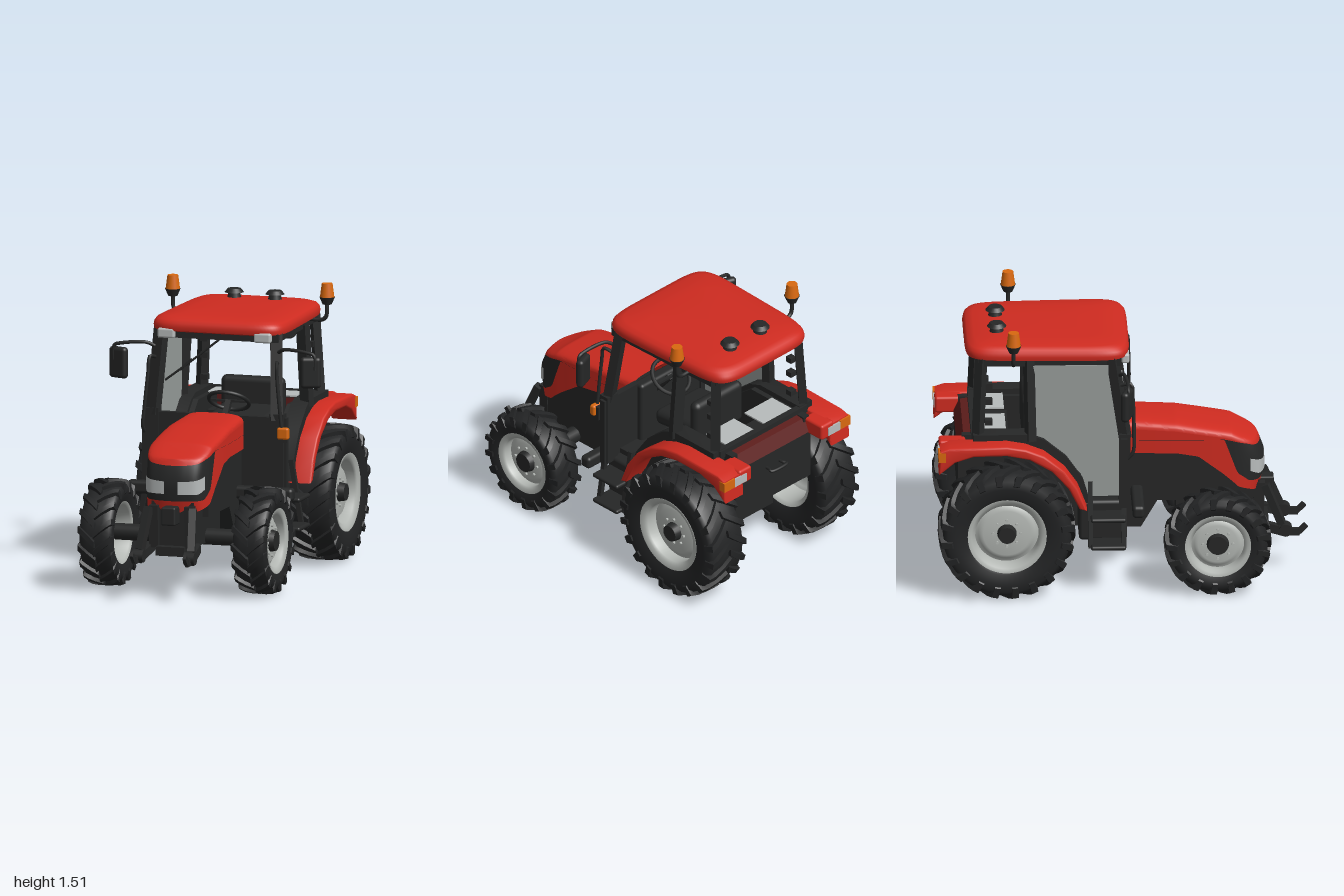
import * as THREE from 'three';
import { mergeGeometries, toCreasedNormals } from 'three/addons/utils/BufferGeometryUtils.js';
import { RoundedBoxGeometry } from 'three/addons/geometries/RoundedBoxGeometry.js';

const material = (name, color) => new THREE.MeshStandardMaterial({ name, color, side: THREE.DoubleSide });
const red = material('red paint', 0xcf2b20);
const darkRed = material('dark red panel', 0x5c1d1b);
const black = material('black trim', 0x262727);
const rubber = material('tyre rubber', 0x232425);
const silver = material('rim grey', 0xb4b8b4);
const glass = material('glass grey', 0x979c9a);
const lens = material('lamp lens', 0xb8bcbc);
const amber = material('amber lamp', 0xd9690f);

const V = (x, y, z) => new THREE.Vector3(x, y, z);

function add(parent, name, geo, mat, x = 0, y = 0, z = 0) {
  const m = new THREE.Mesh(geo, mat);
  m.name = name;
  m.position.set(x, y, z);
  parent.add(m);
  return m;
}
// Box given by its ranges on each axis
function box(parent, name, mat, [x0, x1], [y0, y1], [z0, z1], r = 0) {
  const s = [x1 - x0, y1 - y0, z1 - z0];
  const geo = r ? new RoundedBoxGeometry(...s, 3, r) : new THREE.BoxGeometry(...s);
  return add(parent, name, geo, mat, (x0 + x1) / 2, (y0 + y1) / 2, (z0 + z1) / 2);
}
function beam(parent, name, mat, a, b, w, d = w) {
  const m = add(parent, name, new THREE.BoxGeometry(w, d, a.distanceTo(b)), mat);
  m.position.copy(a).lerp(b, 0.5);
  m.lookAt(b);
  return m;
}
function pipe(parent, name, mat, pts, r) {
  const curve = new THREE.CatmullRomCurve3(pts.map(p => V(...p)), false, 'centripetal');
  return add(parent, name, new THREE.TubeGeometry(curve, 24, r, 8), mat);
}
// Side outline of (z, y) points, thickened from x0 to x1
function sidePlate(parent, name, mat, pts, x0, x1, bevel = 0) {
  const shape = new THREE.Shape(pts.map(p => new THREE.Vector2(...p)));
  const geo = new THREE.ExtrudeGeometry(shape, {
    depth: x1 - x0 - 2 * bevel, bevelEnabled: bevel > 0, bevelSize: bevel, bevelThickness: bevel, bevelOffset: -bevel, bevelSegments: 3,
  });
  geo.rotateY(-Math.PI / 2).translate(x1 - bevel, 0, 0);
  return add(parent, name, toCreasedNormals(geo, 0.6), mat);
}
// Skin over rows of points; closed rows get end caps
function loft(rows, closed = false) {
  const n = rows[0].length, index = [];
  for (let i = 0; i < rows.length - 1; i++)
    for (let j = 0; j < (closed ? n : n - 1); j++) {
      const a = i * n + j, b = i * n + (j + 1) % n;
      index.push(a, b, b + n, a, b + n, a + n);
    }
  if (closed) for (let j = 1; j < n - 1; j++) {
    const e = (rows.length - 1) * n;
    index.push(0, j + 1, j, e, e + j, e + j + 1);
  }
  const geo = new THREE.BufferGeometry();
  geo.setAttribute('position', new THREE.Float32BufferAttribute(rows.flat(2), 3));
  geo.setIndex(index);
  return toCreasedNormals(geo, 0.6);
}
// Piecewise linear curve through [input, output] pairs
const ramp = pairs => t => {
  let i = 1;
  while (i < pairs.length - 1 && t > pairs[i][0]) i++;
  const [a, p] = pairs[i - 1], [b, q] = pairs[i];
  return p + (q - p) * THREE.MathUtils.clamp((t - a) / (b - a), 0, 1);
};

// Wheel on the x axis, outer face towards +x
function makeWheel(name, R, width, rimR, hubR, lugs) {
  const g = new THREE.Group(), h = width / 2;
  g.name = name;
  const turn = pts => new THREE.LatheGeometry(pts.map(p => new THREE.Vector2(...p)), 56).rotateZ(-Math.PI / 2);
  const base = R - 0.02, mid = (rimR + base) / 2;
  const half = [[rimR, 0.8 * h], [rimR + 0.02, 0.88 * h], [mid, 0.96 * h], [base - 0.03, 0.94 * h], [base - 0.008, 0.82 * h], [base, 0.4 * h]];
  add(g, 'tyre', turn([...half.map(([r, y]) => [r, -y]), ...half.reverse()]), rubber);
  // Angled tread bars, alternating left and right
  const bars = [];
  for (let i = 0; i < lugs * 2; i++) {
    const s = i % 2 ? 1 : -1, a0 = i * Math.PI / lugs, d = 0.32 * Math.PI / lugs;
    const steps = [[-0.04, R, 0], [0.35, R, 0.12], [0.7, R - 0.003, 0.22], [0.95, R - 0.012, 0.28], [1, R - 0.07, 0.3]];
    bars.push(loft(steps.map(([u, r, lag]) => {
      const rin = Math.min(base, r) - 0.02;
      const x = s * u * h, xin = s * Math.min(u, 0.85) * h;
      return [[rin, -1.5, xin], [r, -1, x], [r, 1, x], [rin, 1.5, xin]].map(([q, k, px]) => {
        const a = a0 - lag + k * d;
        return [px, q * Math.cos(a), q * Math.sin(a)];
      });
    }), true));
  }
  add(g, 'tread', mergeGeometries(bars), rubber);
  add(g, 'rim', turn([[rimR + 0.004, -0.8 * h], [rimR * 0.88, -0.7 * h], [rimR * 0.84, 0.2 * h], [rimR * 0.84, 0.72 * h], [rimR * 0.94, 0.78 * h],
    [rimR + 0.008, 0.88 * h], [rimR + 0.004, 0.8 * h]]), silver);
  add(g, 'rimDisc', turn([[rimR * 0.86, 0.25 * h], [rimR * 0.74, 0.32 * h], [rimR * 0.62, 0.5 * h], [0, 0.5 * h]]), silver);
  add(g, 'hub', new THREE.CylinderGeometry(hubR * 0.85, hubR, 0.35 * h, 20).rotateZ(-Math.PI / 2), black, 0.62 * h);
  for (let i = 0; i < 8; i++) {
    const a = i * Math.PI / 4, r = hubR + 0.02;
    add(g, 'wheelBolt', new THREE.CylinderGeometry(0.008, 0.008, 0.02, 6).rotateZ(Math.PI / 2), silver, 0.51 * h, Math.cos(a) * r, Math.sin(a) * r);
  }
  return g;
}

function makeHood() {
  const g = new THREE.Group();
  g.name = 'hood';
  const side = [[0.165, 0.03], [0.178, 0.3], [0.18, 0.52], [0.168, 0.68], [0.135, 0.745], [0.07, 0.77], [0, 0.776]];
  const curve = new THREE.CatmullRomCurve3([...side, ...side.slice(0, -1).reverse().map(([x, z]) => [-x, z])].map(([x, z]) => V(x, 0, z)), false, 'centripetal');
  const plan = curve.getSpacedPoints(140);
  const bottom = ramp([[0.03, 0.70], [0.3, 0.7], [0.42, 0.68], [0.55, 0.58], [0.64, 0.5], [0.78, 0.46]]);
  const low = ramp([[0.56, 0.775], [0.63, 0.58], [0.7, 0.53], [0.78, 0.525]]);
  const high = ramp([[0.56, 0.776], [0.7, 0.745], [0.78, 0.715]]);
  const shoulder = ramp([[0.03, 0.84], [0.3, 0.825], [0.56, 0.785], [0.78, 0.725]]);
  const top = ramp([[0.03, 0.89], [0.3, 0.872], [0.6, 0.82], [0.72, 0.775], [0.78, 0.75]]);
  // The nose leans back above and below the lamps
  const lean = (z, y) => z - THREE.MathUtils.clamp((z - 0.6) / 0.15, 0, 1) * (0.4 * Math.max(0, y - 0.66) + 0.25 * Math.max(0, 0.56 - y));
  const band = (name, a, b, mat, pts = plan, out = 0) => add(g, name, loft([0, 0.33, 0.67, 1].map(t => pts.map(p => {
    const y = THREE.MathUtils.lerp(a(p.z), b(p.z), t);
    return [p.x * (1 + out * 5), y, lean(p.z, y) + out];
  }))), mat);
  band('hoodSide', bottom, low, red);
  band('grille', low, high, black);
  band('hoodShoulder', high, shoulder, red);
  const rows = [];
  for (let i = 0; i <= 10; i++) {
    const t = i / 10 * Math.PI / 2, c = Math.max(0, Math.cos(t)) ** 0.6, s = Math.sin(t) ** 0.7;
    rows.push(plan.map(p => {
      const y = THREE.MathUtils.lerp(shoulder(p.z), top(p.z), s);
      return [p.x * c, y, lean(p.z, y)];
    }));
  }
  add(g, 'hoodTop', loft(rows), red);
  for (const s of [1, -1])
    band('headlight', ramp([[0.69, 0.59], [0.74, 0.565], [0.78, 0.565]]), ramp([[0.69, 0.66], [0.78, 0.632]]), lens, plan.filter(p => p.x * s > 0.035 && p.z > 0.69), 0.005);
  return g;
}

// Everything that repeats on both sides, built for +x
function makeSide() {
  const g = new THREE.Group();
  const rear = makeWheel('rearWheel', 0.37, 0.265, 0.205, 0.054, 20);
  rear.position.set(0.428, 0.378, -0.623);
  const front = makeWheel('frontWheel', 0.29, 0.195, 0.17, 0.062, 17);
  front.position.set(0.434, 0.295, 0.513);
  g.add(rear, front);
  // Rear fender with tail lamps
  sidePlate(g, 'fender', red, [[-0.19, 0.49], [-0.24, 0.62], [-0.31, 0.72], [-0.42, 0.81], [-0.52, 0.85], [-0.62, 0.868], [-0.93, 0.862], [-0.98, 0.845],
    [-0.988, 0.71], [-0.96, 0.73], [-0.9, 0.78], [-0.8, 0.812], [-0.62, 0.815], [-0.5, 0.79], [-0.38, 0.72], [-0.29, 0.62], [-0.23, 0.5]], 0.33, 0.475, 0.012);
  box(g, 'fenderTail', red, [0.265, 0.36], [0.77, 0.862], [-0.985, -0.84], 0.015);
  box(g, 'tailLamp', lens, [0.31, 0.4], [0.785, 0.835], [-0.99, -0.97]);
  box(g, 'tailIndicator', amber, [0.4, 0.479], [0.785, 0.84], [-0.99, -0.95]);
  sidePlate(g, 'cabSide', black, [[-0.17, 0.48], [-0.22, 0.63], [-0.32, 0.76], [-0.46, 0.87], [-0.86, 0.87], [-0.86, 0.48]], 0.25, 0.292);
  sidePlate(g, 'cabArch', black, [[-0.17, 0.5], [-0.21, 0.64], [-0.3, 0.77], [-0.42, 0.87], [-0.5, 0.9], [-0.8, 0.9], [-0.8, 0.83], [-0.55, 0.83], [-0.4, 0.77], [-0.27, 0.65], [-0.21, 0.5]], 0.28, 0.375);
  // Cab frame
  beam(g, 'frontPost', black, V(0.35, 0.86, 0.02), V(0.325, 1.33, -0.05), 0.065, 0.05);
  beam(g, 'lowerPost', black, V(0.355, 0.48, 0.015), V(0.355, 0.9, 0.015), 0.08, 0.06);
  beam(g, 'middlePost', black, V(0.355, 0.86, -0.49), V(0.325, 1.33, -0.5), 0.045, 0.06);
  beam(g, 'rearPost', black, V(0.335, 0.86, -0.775), V(0.31, 1.33, -0.755), 0.05, 0.045);
  beam(g, 'roofRail', black, V(0.325, 1.305, 0.0), V(0.305, 1.305, -0.77), 0.05, 0.045);
  box(g, 'firewall', black, [0.14, 0.41], [0.48, 0.88], [-0.005, 0.03]);
  for (const y of [1.16, 1.07, 0.95]) box(g, 'windowHinge', black, [0.28, 0.32], [y - 0.015, y + 0.015], [-0.735, -0.695]);
  box(g, 'workLamp', black, [0.24, 0.3], [1.24, 1.275], [-0.47, -0.38], 0.01);
  box(g, 'roofLamp', lens, [0.225, 0.32], [1.283, 1.337], [0.0, 0.043], 0.012);
  box(g, 'rearShelf', lens, [0.04, 0.25], [0.882, 0.89], [-0.77, -0.62]);
  // Mirror, handrail and beacon
  pipe(g, 'mirrorArm', black, [[0.35, 1.23, -0.01], [0.39, 1.25, 0.01], [0.53, 1.242, 0.03], [0.565, 1.23, 0.03], [0.57, 1.15, 0.03]], 0.01);
  box(g, 'mirror', black, [0.487, 0.6], [1.05, 1.22], [0.0, 0.045], 0.02).rotation.y = 0.35;
  pipe(g, 'handrail', black, [[0.345, 1.17, -0.01], [0.36, 1.18, 0.05], [0.365, 1.1, 0.06], [0.385, 0.9, 0.065], [0.395, 0.8, 0.06], [0.39, 0.76, 0.03]], 0.01);
  pipe(g, 'beaconPole', black, [[0.33, 1.32, -0.585], [0.41, 1.32, -0.585], [0.432, 1.34, -0.585], [0.435, 1.42, -0.585]], 0.011);
  add(g, 'beaconBase', new THREE.CylinderGeometry(0.042, 0.025, 0.04, 20), black, 0.437, 1.425, -0.585);
  add(g, 'beacon', new THREE.CylinderGeometry(0.029, 0.039, 0.075, 20), amber, 0.437, 1.482, -0.585);
  add(g, 'roofVentStem', new THREE.CylinderGeometry(0.03, 0.04, 0.04, 20), black, 0.115, 1.413, -0.665);
  add(g, 'roofVent', new THREE.CylinderGeometry(0.036, 0.052, 0.02, 24), black, 0.115, 1.44, -0.665);
  // Steps and tank
  box(g, 'tank', black, [0.12, 0.35], [0.27, 0.5], [-0.23, 0.03], 0.02);
  for (const y of [0.26, 0.42]) box(g, 'step', black, [0.33, 0.48], [y, y + 0.025], [-0.17, 0.02], 0.012);
  for (const z of [-0.17, 0.01]) beam(g, 'stepBracket', black, V(0.43, 0.26, z), V(0.37, 0.62, z), 0.025);
  // Front linkage
  beam(g, 'liftBracket', black, V(0.1, 0.27, 0.74), V(0.1, 0.5, 0.75), 0.05, 0.06);
  beam(g, 'liftLink', black, V(0.125, 0.49, 0.78), V(0.145, 0.27, 0.87), 0.04);
  beam(g, 'liftArm', black, V(0.13, 0.27, 0.72), V(0.148, 0.225, 0.9), 0.04, 0.05);
  beam(g, 'liftHook', black, V(0.148, 0.225, 0.88), V(0.15, 0.225, 0.965), 0.02, 0.04);
  beam(g, 'liftHookTip', black, V(0.15, 0.22, 0.955), V(0.15, 0.265, 1.0), 0.018, 0.03);
  add(g, 'liftJoint', new THREE.CylinderGeometry(0.035, 0.035, 0.06, 14).rotateZ(Math.PI / 2), black, 0.145, 0.24, 0.89);
  return g;
}

// Domed roof from shrinking rounded outlines, a little narrower at the back
function roofSkin(steps) {
  const round = v => Math.sign(v) * Math.abs(v) ** 0.3;
  return loft(steps.map(([k, y]) => Array.from({ length: 72 }, (_, i) => {
    const a = i / 36 * Math.PI, sx = round(Math.cos(a)), sz = round(Math.sin(a));
    return [k * sx * (0.37 + 0.015 * sz), y, -0.398 + k * sz * 0.443];
  })), true);
}

export function createModel() {
  const g = new THREE.Group();
  g.name = 'tractor';
  const left = makeSide(), right = left.clone();
  left.name = 'leftSide';
  right.name = 'rightSide';
  right.scale.x = -1;
  g.add(left, right, makeHood());

  // Chassis, engine and axles
  box(g, 'engine', black, [-0.155, 0.155], [0.42, 0.74], [0.0, 0.6]);
  box(g, 'frontFrame', black, [-0.12, 0.12], [0.27, 0.52], [0.3, 0.75]);
  sidePlate(g, 'chassis', black, [[0.24, 0.5], [0.22, 0.45], [0.11, 0.26], [-0.5, 0.28], [-0.74, 0.32], [-0.74, 0.5]], -0.14, 0.14);
  box(g, 'crossBar', black, [-0.47, 0.47], [0.44, 0.51], [0.055, 0.12], 0.02);
  box(g, 'linkageBlock', black, [-0.04, 0.04], [0.4, 0.5], [0.74, 0.83], 0.01);
  box(g, 'linkageBar', black, [-0.08, 0.08], [0.23, 0.28], [0.72, 0.8]);
  for (const [name, y, z, r] of [['frontAxle', 0.3, 0.513, 0.045], ['rearAxle', 0.378, -0.623, 0.06]])
    add(g, name, new THREE.CylinderGeometry(r, r, 0.8, 24).rotateZ(Math.PI / 2), black, 0, y, z);
  box(g, 'cabFloor', black, [-0.29, 0.29], [0.48, 0.53], [-0.85, 0.02]);
  box(g, 'rearBody', black, [-0.285, 0.285], [0.5, 0.79], [-0.88, -0.6]);
  sidePlate(g, 'rearApron', darkRed, [[-0.885, 0.785], [-0.85, 0.86], [-0.78, 0.87], [-0.78, 0.785]], -0.28, 0.28);
  box(g, 'rearSill', black, [-0.33, 0.33], [0.85, 0.895], [-0.81, -0.775]);
  pipe(g, 'rearHitch', black, [[-0.05, 0.7, -0.87], [-0.05, 0.7, -0.9], [-0.06, 0.7, -0.925], [0.06, 0.7, -0.925], [0.05, 0.7, -0.9], [0.05, 0.7, -0.87]], 0.009);

  // Roof
  add(g, 'roof', roofSkin([[0.95, 1.318], [0.99, 1.325], [1, 1.345], [0.99, 1.366], [0.96, 1.382], [0.88, 1.394], [0.6, 1.403], [0.02, 1.406]]), red);
  add(g, 'roofLining', roofSkin([[0.94, 1.305], [0.94, 1.322]]), black);
  box(g, 'frontHeader', black, [-0.32, 0.32], [1.28, 1.32], [-0.06, -0.01]);
  box(g, 'rearHeader', black, [-0.31, 0.31], [1.28, 1.32], [-0.78, -0.74]);

  // Door glass on the right side
  sidePlate(g, 'doorGlass', glass, [[0.0, 0.53], [-0.18, 0.53], [-0.22, 0.66], [-0.32, 0.78], [-0.46, 0.88], [-0.48, 1.29], [-0.05, 1.29], [-0.01, 0.9]], -0.352, -0.346);
  pipe(g, 'wiper', black, [[0.01, 1.28, -0.02], [-0.14, 1.16, -0.005], [-0.285, 1.05, 0.01]], 0.006);
  beam(g, 'wiperBlade', black, V(-0.14, 1.17, 0.0), V(-0.2, 1.11, 0.005), 0.02, 0.012);

  // Cab interior
  box(g, 'dashboard', black, [-0.16, 0.16], [0.5, 0.88], [-0.04, 0.03], 0.02);
  beam(g, 'steeringColumn', black, V(0.03, 0.8, -0.02), V(0.03, 0.93, -0.13), 0.03);
  const wheel = add(g, 'steeringWheel', new THREE.TorusGeometry(0.11, 0.011, 8, 32), black, 0.03, 0.93, -0.13);
  wheel.rotation.x = Math.PI / 2 - 0.6;
  beam(g, 'steeringSpoke', black, V(-0.07, 0.93, -0.13), V(0.13, 0.93, -0.13), 0.02, 0.012);
  box(g, 'seatBase', black, [-0.1, 0.18], [0.52, 0.76], [-0.5, -0.26], 0.02);
  box(g, 'seatCushion', black, [-0.13, 0.22], [0.76, 0.85], [-0.52, -0.19], 0.035).rotation.x = 0.12;
  box(g, 'seatBack', black, [-0.13, 0.23], [0.76, 1.01], [-0.53, -0.46], 0.034);

  // Front indicator on the left side
  box(g, 'indicatorBracket', black, [0.36, 0.42], [0.75, 0.83], [0.03, 0.055]);
  box(g, 'indicator', amber, [0.37, 0.435], [0.77, 0.835], [0.05, 0.085], 0.012);
  return g;
}
